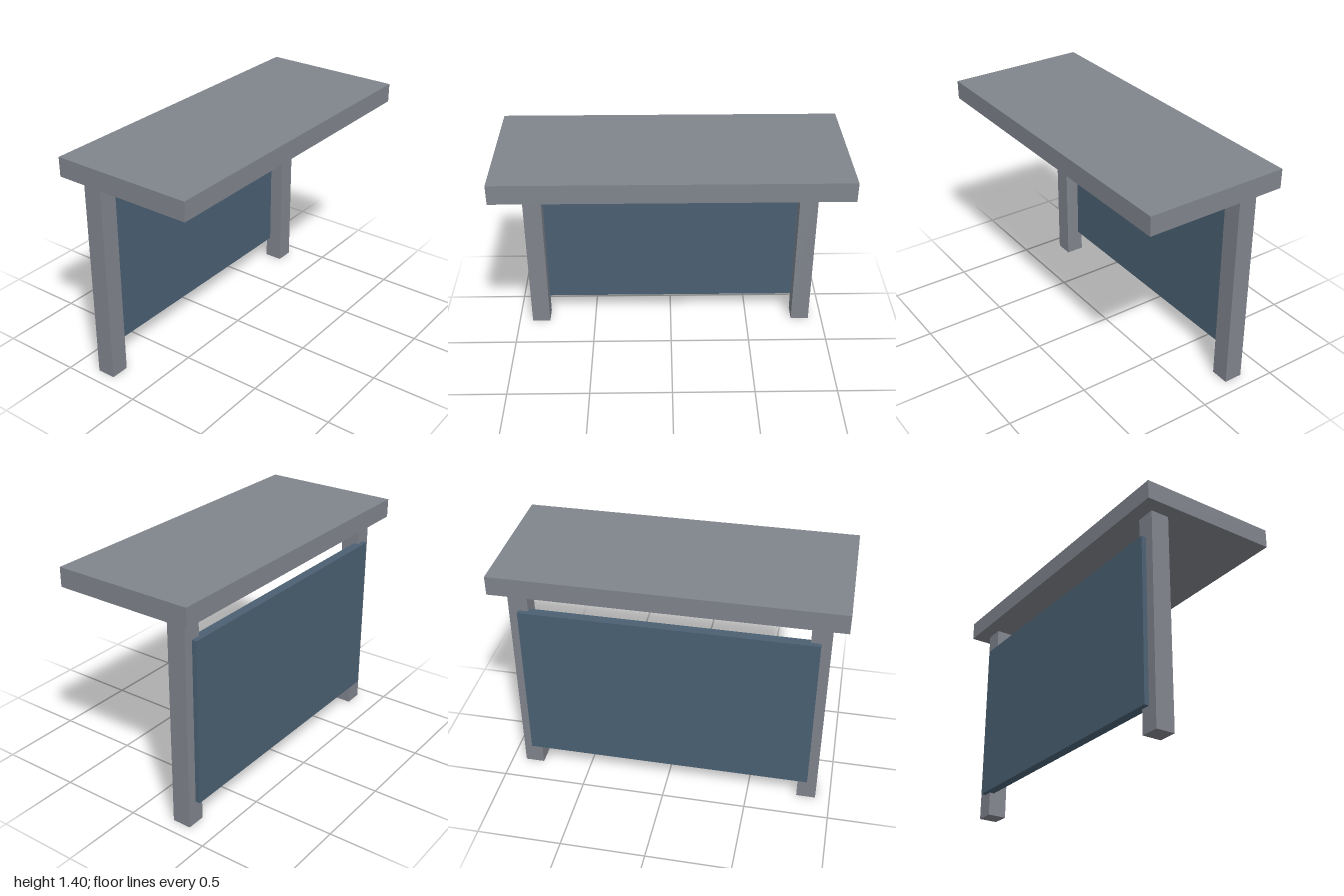
import * as THREE from 'three';

export function createModel() {
  const model = new THREE.Group();
  model.name = 'shelteredBoard';

  const frameGrey = new THREE.MeshStandardMaterial({ color: 0x80848c });
  frameGrey.name = 'frame grey';
  const panelBlue = new THREE.MeshStandardMaterial({ color: 0x4a6072 });
  panelBlue.name = 'panel blue';

  const addBox = (name, material, size, position) => {
    const mesh = new THREE.Mesh(new THREE.BoxGeometry(...size), material);
    mesh.name = name;
    mesh.position.set(...position);
    model.add(mesh);
  };

  // Flat slab on top, overhanging towards the front
  addBox('topSlab', frameGrey, [2, 0.1143, 0.8571], [0, 1.3429, 0]);

  // Two square posts set towards the back
  for (const [name, side] of [['leftPost', 1], ['rightPost', -1]]) {
    addBox(name, frameGrey, [0.1143, 1.2857, 0.1143], [side * 0.8571, 0.6429, -0.2857]);
  }

  // Panel let halfway into the back faces of the posts, ending at their centres
  addBox('backPanel', panelBlue, [1.7143, 1, 0.0571], [0, 0.6429, -0.3429]);

  return model;
}
